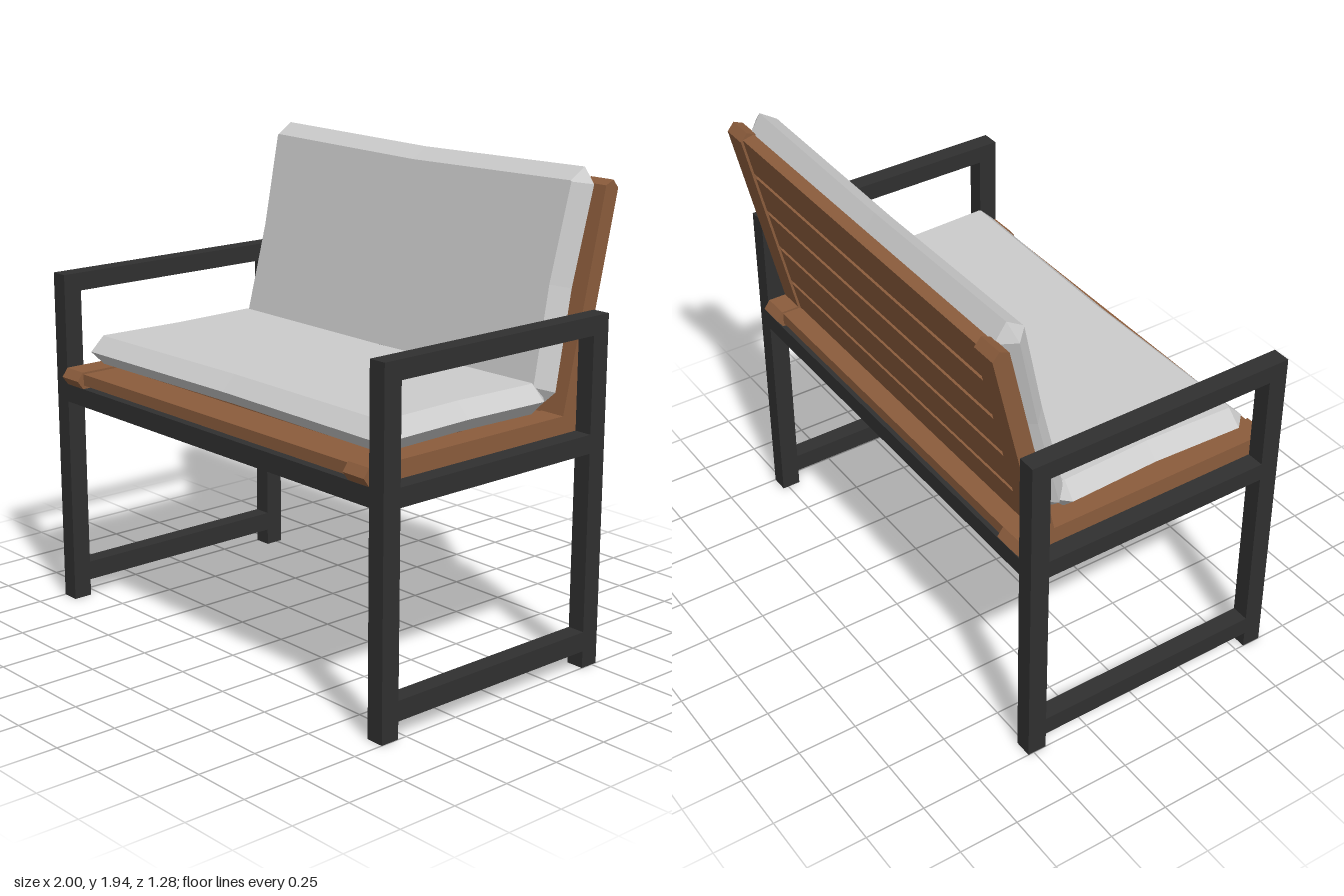
import * as THREE from 'three';

const TILT = 0.227; // backward lean of the backrest

const metal = new THREE.MeshStandardMaterial({ color: 0x303030 });
const wood = new THREE.MeshStandardMaterial({ color: 0x8b5c3c });
const fabric = new THREE.MeshStandardMaterial({ color: 0xcccccc, flatShading: true });

// Box given by its min and max on each axis
function box(parent, name, mat, [x0, x1], [y0, y1], [z0, z1]) {
  const mesh = new THREE.Mesh(new THREE.BoxGeometry(x1 - x0, y1 - y0, z1 - z0), mat);
  mesh.position.set((x0 + x1) / 2, (y0 + y1) / 2, (z0 + z1) / 2);
  mesh.name = name;
  parent.add(mesh);
  return mesh;
}

// Board along local y with bevelled, pointed ends; thickness along z, width along x
function pointedBoard(name, length, thickness, width) {
  const h = length / 2, t = thickness / 2, c = 0.026;
  const shape = new THREE.Shape([
    [0, -h], [t, -h + c], [t, h - c], [0, h], [-t, h - c], [-t, -h + c],
  ].map(([x, y]) => new THREE.Vector2(x, y)));
  const geo = new THREE.ExtrudeGeometry(shape, { depth: width, bevelEnabled: false });
  geo.translate(0, 0, -width / 2);
  geo.rotateY(-Math.PI / 2);
  const mesh = new THREE.Mesh(geo, wood);
  mesh.name = name;
  return mesh;
}

// Faceted cushion in the xy plane: wide middle ring, inset front and back rings
function cushion(name, hw, hh, ht) {
  const inset = 0.06, n = 12;
  const ring = (z, middle) => {
    const a = middle ? hw : hw - inset, b = middle ? hh : hh - inset;
    const c = middle ? inset : 0.004; // corner cut
    const sag = 0.015;                // edges draw in at their centres
    return [
      [a - sag, 0], [a, b - c], [a - c, b], [0, b - sag], [c - a, b], [-a, b - c],
      [sag - a, 0], [-a, c - b], [c - a, -b], [0, sag - b], [a - c, -b], [a, c - b],
    ].flatMap(([x, y]) => [x, y, z]);
  };
  const pos = [...ring(-ht, false), ...ring(0, true), ...ring(ht, false), 0, 0, -ht, 0, 0, ht];
  const index = [];
  for (let i = 0; i < n; i++) {
    const j = (i + 1) % n;
    for (const r of [0, n]) index.push(r + i, r + j, r + n + j, r + i, r + n + j, r + n + i);
    index.push(3 * n, j, i, 3 * n + 1, 2 * n + i, 2 * n + j);
  }
  const geo = new THREE.BufferGeometry();
  geo.setAttribute('position', new THREE.Float32BufferAttribute(pos, 3));
  geo.setIndex(index);
  geo.computeVertexNormals();
  const mesh = new THREE.Mesh(geo, fabric);
  mesh.name = name;
  return mesh;
}

export function createModel() {
  const model = new THREE.Group();
  model.name = 'bench';

  // Metal frame: two side loops joined by front and back rails
  const frame = new THREE.Group();
  frame.name = 'frame';
  model.add(frame);
  const front = [0.54, 0.62], back = [-0.525, -0.445], between = [-0.445, 0.54];
  for (const [side, x] of [['left', [0.925, 1]], ['right', [-1, -0.925]]]) {
    box(frame, side + 'FrontLeg', metal, x, [0, 1.335], front);
    box(frame, side + 'BackLeg', metal, x, [0, 1.335], back);
    box(frame, side + 'Armrest', metal, x, [1.335, 1.41], [-0.525, 0.62]);
    box(frame, side + 'SeatRail', metal, x, [0.875, 0.95], between);
    box(frame, side + 'FootRail', metal, x, [0.07, 0.15], between);
  }
  box(frame, 'frontRail', metal, [-0.925, 0.925], [0.875, 0.95], front);
  box(frame, 'backRail', metal, [-0.925, 0.925], [0.875, 0.95], back);

  // Wooden seat: side boards and cross slats
  const seat = new THREE.Group();
  seat.name = 'seat';
  model.add(seat);
  for (const s of [1, -1]) {
    const board = pointedBoard('seatSideBoard', 1.19, 0.07, 0.11);
    board.rotation.x = Math.PI / 2;
    board.position.set(s * 0.87, 0.985, 0.05);
    seat.add(board);
  }
  for (let i = 0; i < 6; i++) {
    const z = 0.615 - i * 0.192;
    box(seat, 'seatSlat', wood, [-0.815, 0.815], [0.965, 1.012], [z - 0.17, z]);
  }

  // Wooden backrest, built upright from its top edge and then tilted
  const backrest = new THREE.Group();
  backrest.name = 'backrest';
  backrest.position.set(0, 1.895, -0.61);
  backrest.rotation.x = -TILT;
  model.add(backrest);
  for (const s of [1, -1]) {
    const post = pointedBoard('backPost', 0.96, 0.07, 0.11);
    post.position.set(s * 0.87, -0.48, 0);
    backrest.add(post);
  }
  for (let i = 0; i < 5; i++) {
    const y = -0.02 - i * 0.187;
    box(backrest, 'backSlat', wood, [-0.815, 0.815], [y - 0.165, y], [-0.025, 0.025]);
  }

  // Cushions
  const seatCushion = cushion('seatCushion', 0.91, 0.445, 0.06);
  seatCushion.rotation.x = -Math.PI / 2;
  seatCushion.position.set(0, 1.09, 0.105);
  const backCushion = cushion('backCushion', 0.91, 0.455, 0.06);
  backCushion.rotation.x = -TILT;
  backCushion.position.set(0, 1.5, -0.43);
  model.add(seatCushion, backCushion);

  return model;
}
